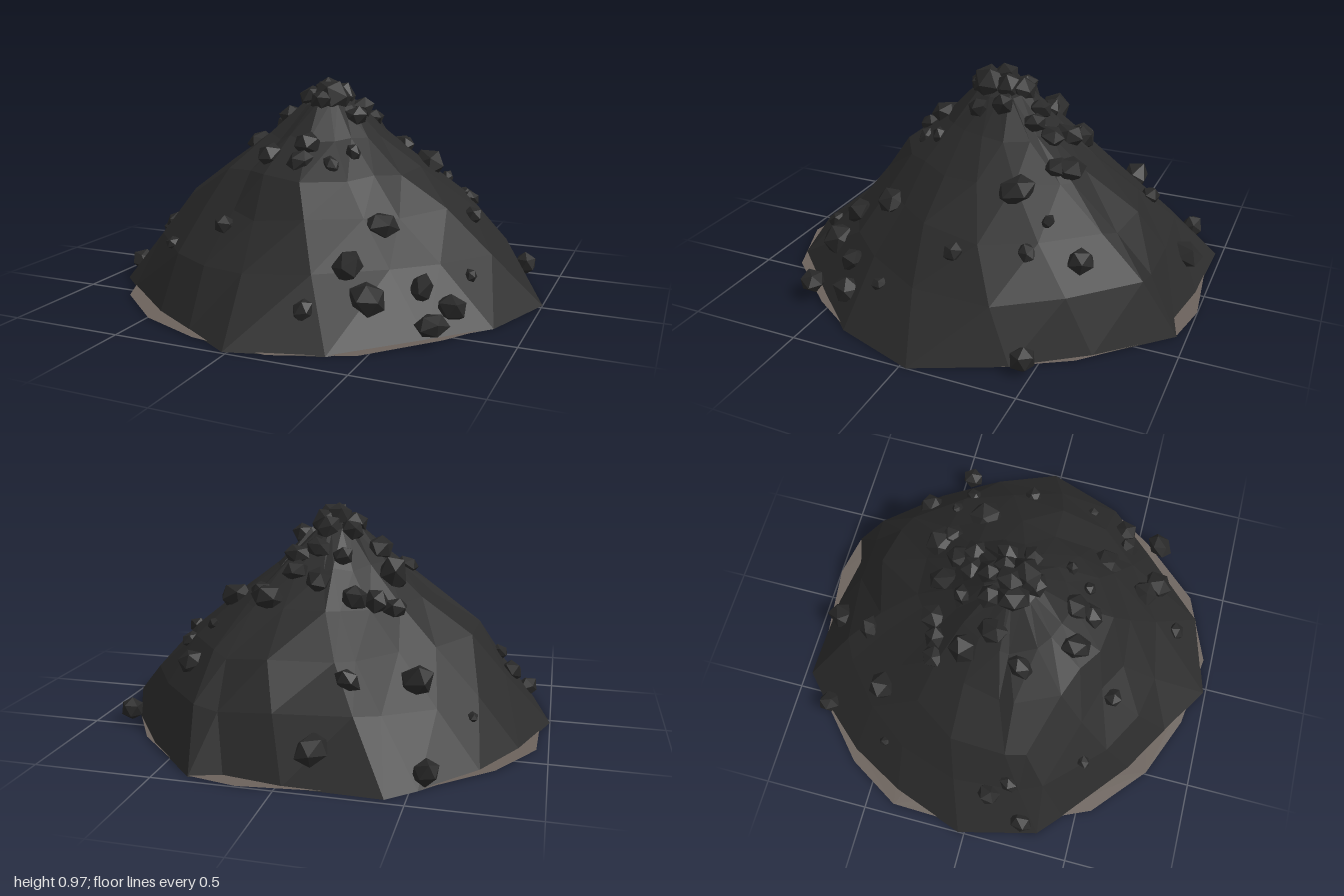
import * as THREE from 'three';

const rockMat = new THREE.MeshStandardMaterial({ name: 'coal lump', color: 0x282828, flatShading: true });
const heapMat = new THREE.MeshStandardMaterial({ name: 'coal heap', color: 0x2b2b2b, flatShading: true });
const dustMat = new THREE.MeshStandardMaterial({ name: 'dusty ground', color: 0x6b625c, side: THREE.DoubleSide });

function seeded(seed) {
  return () => {
    seed = (seed * 16807) % 2147483647;
    return seed / 2147483647;
  };
}

// Irregular base outline of the heap, x and z
const BASE = [
  [1, -0.03], [0.87, 0.34], [0.66, 0.57], [0.36, 0.88], [-0.02, 0.99], [-0.26, 0.84], [-0.49, 0.7],
  [-0.8, 0.44], [-0.91, 0.34], [-1, -0.03], [-0.88, -0.37], [-0.74, -0.63], [-0.53, -0.87],
  [-0.42, -0.97], [-0.02, -0.96], [0.23, -0.92], [0.36, -0.96], [0.63, -0.68], [0.83, -0.4],
];
// Height and reach in twelve directions, from right through front, left and back
const RINGS = [
  { y: 0.23, reach: [0.82, 0.67, 0.66, 0.7, 0.73, 0.8, 0.78, 0.81, 0.8, 0.83, 0.89, 0.8] },
  { y: 0.41, reach: [0.62, 0.52, 0.51, 0.55, 0.54, 0.65, 0.66, 0.62, 0.6, 0.68, 0.72, 0.66] },
  { y: 0.57, reach: [0.4, 0.38, 0.4, 0.46, 0.42, 0.48, 0.45, 0.44, 0.42, 0.46, 0.5, 0.45] },
  { y: 0.71, reach: [0.24, 0.22, 0.23, 0.26, 0.25, 0.28, 0.28, 0.27, 0.27, 0.3, 0.31, 0.28] },
  { y: 0.85, reach: [0.11, 0.1, 0.1, 0.11, 0.11, 0.11, 0.11, 0.12, 0.13, 0.15, 0.14, 0.12] },
];

function reachAt(reach, angle) {
  const n = reach.length;
  const t = ((angle / (2 * Math.PI)) * n + 2 * n) % n;
  const i = Math.floor(t);
  return THREE.MathUtils.lerp(reach[i], reach[(i + 1) % n], t - i);
}

// Stacked rings, each turned a little against the one below
function heapGeometry() {
  const rand = seeded(41);
  const n = BASE.length;
  const rings = [BASE.map(([x, z]) => [x, 0, z])];
  RINGS.forEach(({ y, reach }, k) => {
    rings.push(BASE.map(([x, z]) => {
      const a = Math.atan2(z, x) + (k + 1) * 0.09;
      const r = reachAt(reach, a) * (0.98 + rand() * 0.05);
      return [Math.cos(a) * r, y + (rand() - 0.5) * 0.03, Math.sin(a) * r];
    }));
  });
  const pos = [];
  const tri = (...corners) => corners.forEach((p) => pos.push(...p));
  for (let i = 0; i < n; i++) {
    const j = (i + 1) % n;
    for (let k = 0; k < RINGS.length; k++) {
      const lo = rings[k], hi = rings[k + 1];
      tri(lo[i], hi[i], lo[j]);
      tri(lo[j], hi[i], hi[j]);
    }
    const top = rings[RINGS.length];
    tri(top[i], [-0.01, 0.91, 0], top[j]);
    tri([0, 0, 0], rings[0][i], rings[0][j]);
  }
  const geo = new THREE.BufferGeometry();
  geo.setAttribute('position', new THREE.Float32BufferAttribute(pos, 3));
  geo.computeVertexNormals();
  return geo;
}

// Lumps: x, z, radius (resting on the heap)
const PEAK = [
  [-0.33, -0.3, 0.05], [-0.25, -0.31, 0.055], [-0.16, -0.34, 0.06], [-0.29, -0.16, 0.075],
  [0, -0.33, 0.06], [0.11, -0.29, 0.055], [0.12, -0.22, 0.05], [0.03, -0.21, 0.055],
  [-0.08, -0.22, 0.045], [-0.21, -0.05, 0.065], [-0.09, -0.09, 0.05], [0.01, -0.12, 0.06],
  [-0.08, 0.01, 0.06], [0.03, 0.04, 0.075], [0.14, 0.04, 0.05], [0.04, -0.06, 0.06],
  [0.13, -0.07, 0.05], [-0.02, -0.02, 0.06], [0, 0.09, 0.05], [-0.31, 0.1, 0.05], [0.2, 0.21, 0.035],
];
const SLOPE = [
  [-0.55, -0.82, 0.055], [-0.12, -0.87, 0.07], [-0.21, -0.67, 0.05], [-0.46, -0.53, 0.07],
  [0.49, -0.57, 0.055], [0.45, -0.41, 0.03], [0.58, -0.37, 0.035], [0.4, -0.25, 0.075],
  [0.2, -0.41, 0.07], [0.24, -0.37, 0.05], [0.66, -0.08, 0.045], [-0.15, 0.31, 0.06],
  [0.01, 0.27, 0.06], [0.01, 0.35, 0.05], [0.14, 0.31, 0.035], [-0.81, 0.08, 0.05],
  [-0.75, 0.16, 0.04], [-0.88, 0.25, 0.05], [-0.56, 0.47, 0.03], [-0.26, 0.53, 0.045],
  [0.32, 0.57, 0.065], [0.43, 0.63, 0.07], [0.22, 0.78, 0.04], [0.59, 0.45, 0.055],
  [0.71, 0.41, 0.065], [0.74, 0.23, 0.03], [0.39, 0.36, 0.06], [-0.69, -0.47, 0.025],
];
// Lumps at the foot: x, z, radius, height
const FOOT = [[0.84, -0.46, 0.05, 0.06], [0.69, 0.61, 0.055, 0.08]];

export function createModel() {
  const model = new THREE.Group();
  model.name = 'coalPile';

  const heap = new THREE.Mesh(heapGeometry(), heapMat);
  heap.name = 'heap';
  model.add(heap);

  // Thin patch of dust showing around the base
  const outline = [
    [-0.2, -0.96], [0.15, -1], [0.35, -0.96], [0.69, -0.63], [0.84, -0.38], [0.94, 0], [0.85, 0.35],
    [0.72, 0.55], [0.47, 0.83], [0.15, 0.96], [-0.2, 0.91], [-0.49, 0.79], [-0.74, 0.57],
    [-0.86, 0.3], [-0.96, 0], [-0.95, -0.37], [-0.8, -0.62], [-0.49, -0.9],
  ];
  const shape = new THREE.Shape(outline.map(([x, z]) => new THREE.Vector2(x, -z)));
  const dust = new THREE.Mesh(new THREE.ShapeGeometry(shape).rotateX(-Math.PI / 2), dustMat);
  dust.name = 'dustPatch';
  dust.position.y = 0.004;
  model.add(dust);

  // Faceted lumps, dropped onto the heap surface
  const lumpGeo = new THREE.IcosahedronGeometry(1, 0);
  const rand = seeded(977);
  const ray = new THREE.Raycaster();
  const down = new THREE.Vector3(0, -1, 0);
  const addLumps = (name, list) => {
    const group = new THREE.Group();
    group.name = name;
    for (const [x, z, r, height] of list) {
      ray.set(new THREE.Vector3(x, 2, z), down);
      const hit = ray.intersectObject(heap)[0];
      const y = height ?? (hit ? hit.point.y : 0);
      const lump = new THREE.Mesh(lumpGeo, rockMat);
      lump.name = 'lump';
      lump.position.set(x, Math.max(y, r), z);
      lump.rotation.set(rand() * 0.9, rand() * 6.28, rand() * 0.9);
      lump.scale.set(r * (1.15 + rand() * 0.25), r * (0.85 + rand() * 0.2), r * (0.95 + rand() * 0.2));
      group.add(lump);
    }
    model.add(group);
  };
  addLumps('peakLumps', PEAK);
  addLumps('slopeLumps', SLOPE);
  addLumps('footLumps', FOOT);
  return model;
}
